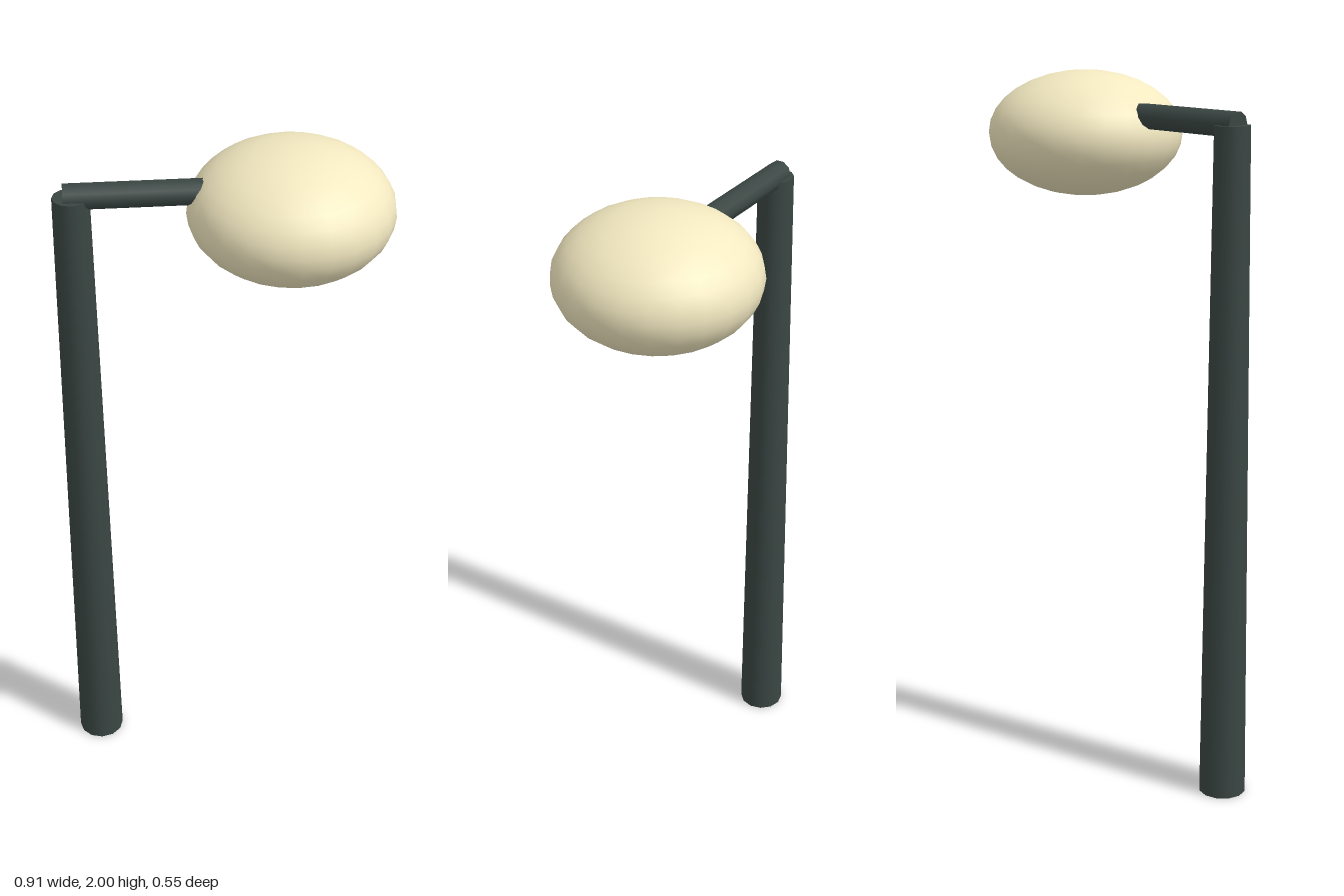
import * as THREE from 'three';

export function createModel() {
  const group = new THREE.Group();
  const metal = new THREE.MeshStandardMaterial({ color: 0x3a4643 });
  const glow = new THREE.MeshStandardMaterial({ color: 0xf2e8c0 });

  const add = (name, geometry, material, x, y) => {
    const mesh = new THREE.Mesh(geometry, material);
    mesh.name = name;
    mesh.position.set(x, y, 0);
    group.add(mesh);
    return mesh;
  };

  // Tapered upright post
  const height = 1.885;
  add('post', new THREE.CylinderGeometry(0.049, 0.067, height, 12), metal, -0.388, height / 2);

  // Horizontal arm, running from the post top into the lamp
  const start = -0.408, end = 0.12;
  const arm = new THREE.CylinderGeometry(0.0345, 0.0345, end - start, 10).rotateZ(Math.PI / 2);
  add('arm', arm, metal, (start + end) / 2, 1.887);

  // Flattened globe lamp
  const lamp = new THREE.SphereGeometry(0.274, 24, 16).scale(1, 0.635, 1);
  add('lamp', lamp, glow, 0.181, 1.826);

  return group;
}
